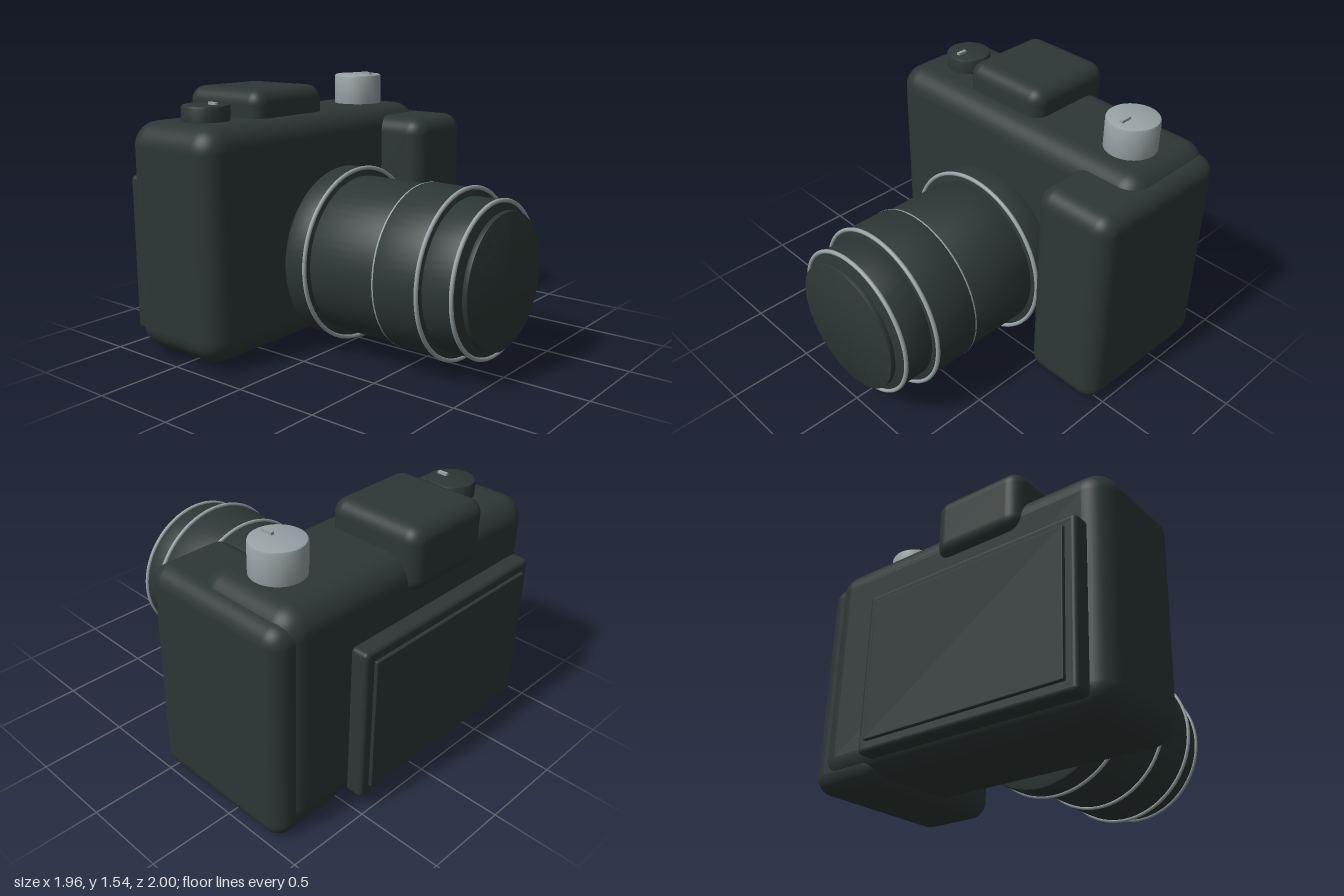
import * as THREE from 'three';
import { RoundedBoxGeometry } from 'three/addons/geometries/RoundedBoxGeometry.js';
import { toCreasedNormals } from 'three/addons/utils/BufferGeometryUtils.js';

function material(name, color) {
  const m = new THREE.MeshStandardMaterial({ color });
  m.name = name;
  return m;
}

export function createModel() {
  const model = new THREE.Group();
  model.name = 'camera';
  const dark = material('charcoal', 0x2d3736);
  const silver = material('silver', 0x98a2a5);

  function add(parent, name, geometry, mat, x = 0, y = 0, z = 0) {
    const mesh = new THREE.Mesh(geometry, mat);
    mesh.name = name;
    mesh.position.set(x, y, z);
    parent.add(mesh);
    return mesh;
  }

  // Rounded box given by its extents on each axis
  function block(name, [x0, x1], [y0, y1], [z0, z1], radius) {
    add(model, name, new RoundedBoxGeometry(x1 - x0, y1 - y0, z1 - z0, 6, radius), dark,
      (x0 + x1) / 2, (y0 + y1) / 2, (z0 + z1) / 2);
  }

  // Closed drum along y with softened rims
  function drum(radius, height, bevel) {
    const h = height / 2;
    const points = [
      [0, -h], [radius - bevel, -h], [radius - bevel * 0.3, -h + bevel * 0.3], [radius, -h + bevel],
      [radius, h - bevel], [radius - bevel * 0.3, h - bevel * 0.3], [radius - bevel, h], [0, h],
    ].map(([r, y]) => new THREE.Vector2(r, y));
    return toCreasedNormals(new THREE.LatheGeometry(points, 64), 0.6);
  }

  // Housing
  block('body', [-0.98, 0.92], [0.03, 1.34], [-0.88, -0.2], 0.14);
  block('grip', [0.48, 0.98], [0, 1.28], [-0.86, 0.09], 0.1);
  block('viewfinderHump', [-0.48, 0.1], [1.13, 1.5], [-0.925, -0.335], 0.085);
  block('screenFrame', [-0.875, 0.495], [0.09, 1.01], [-0.98, -0.87], 0.025);
  block('screen', [-0.812, 0.435], [0.15, 0.95], [-1, -0.96], 0.006);

  // Top dials with small index marks
  function dial(name, x, z, radius, top, mat, markLength, markZ) {
    const group = new THREE.Group();
    group.name = name;
    const height = top - 1.28;
    add(group, name + 'Knob', drum(radius, height, 0.015), mat, x, top - height / 2, z);
    add(group, name + 'Mark', new THREE.BoxGeometry(0.02, 0.03, markLength), silver, x, top, markZ);
    model.add(group);
  }
  dial('leftDial', 0.63, -0.51, 0.15, 1.525, silver, 0.07, -0.44);
  dial('rightDial', -0.68, -0.54, 0.135, 1.43, dark, 0.06, -0.48);

  // Lens: stepped barrels [name, radius, back z, front z, bevel]
  const lens = new THREE.Group();
  lens.name = 'lens';
  lens.position.set(-0.02, 0.54, 0);
  model.add(lens);
  for (const [name, radius, z0, z1, bevel] of [
    ['lensMount', 0.503, -0.115, 0.035, 0.015],
    ['mainBarrel', 0.457, 0, 0.49, 0.004],
    ['focusRing', 0.471, 0.475, 0.76, 0.006],
    ['frontBarrel', 0.428, 0.74, 0.94, 0.004],
    ['frontGlass', 0.38, 0.97, 1, 0.003],
  ]) {
    add(lens, name, drum(radius, z1 - z0, bevel), dark, 0, 0, (z0 + z1) / 2).rotation.x = Math.PI / 2;
  }

  // Metal trim rings [radius, z]
  for (const [radius, z] of [[0.503, 0.033], [0.46, 0.477], [0.474, 0.757], [0.428, 0.938]]) {
    add(lens, 'trimRing', new THREE.TorusGeometry(radius, 0.012, 10, 72), silver, 0, 0, z);
  }

  return model;
}
